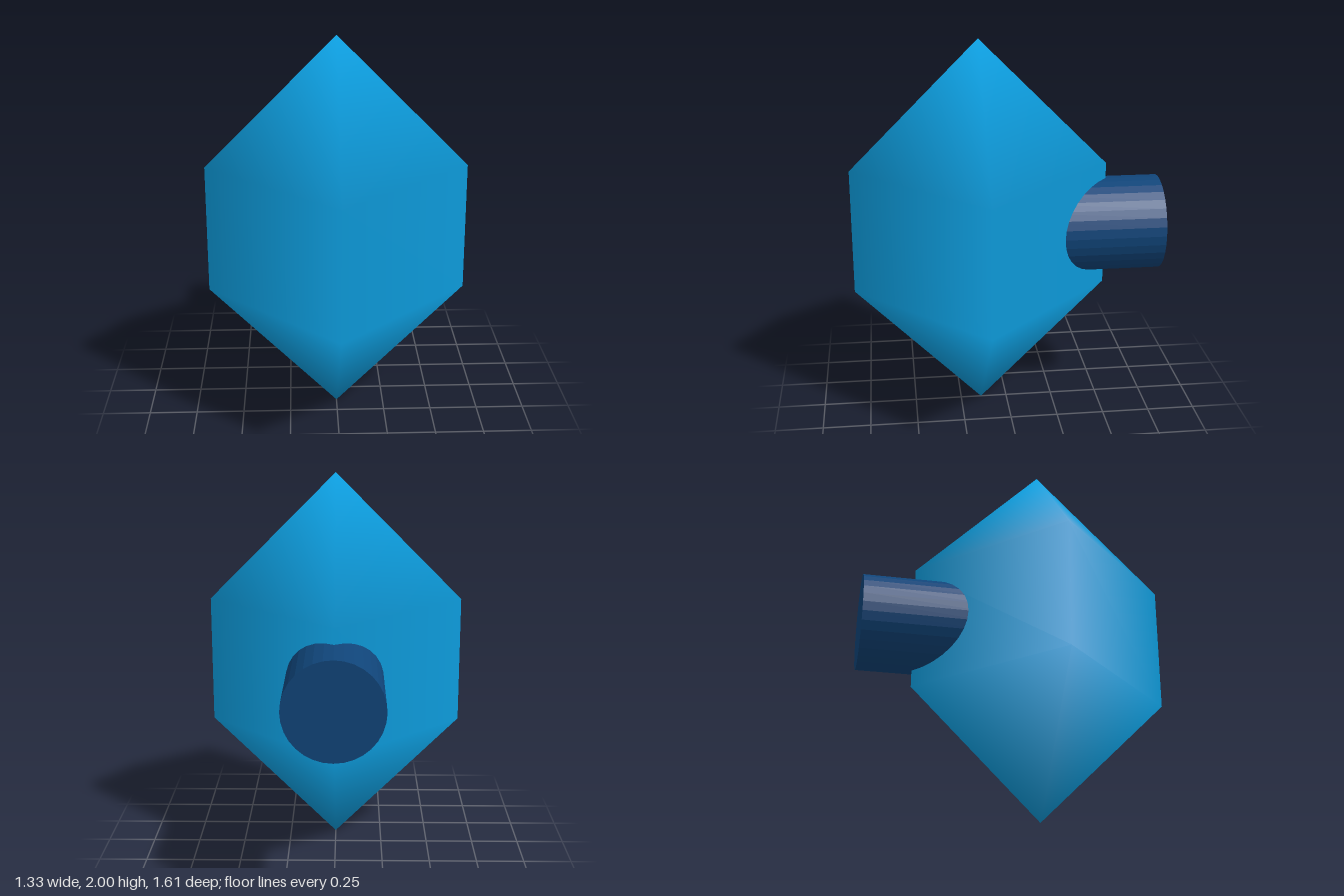
import * as THREE from 'three';

export function createModel() {
  const model = new THREE.Group();

  const crystalBlue = new THREE.MeshStandardMaterial({ color: 0x0ea5e9 });
  crystalBlue.name = 'crystal blue';
  const navy = new THREE.MeshStandardMaterial({ color: 0x10457a });
  navy.name = 'navy';
  navy.flatShading = true;

  // Smooth-shaded four-sided capsule with pointed ends
  const R = 2 / 3;
  const body = new THREE.Mesh(new THREE.CapsuleGeometry(R, R, 1, 4), crystalBlue);
  body.name = 'body';
  body.position.set(0, 1, 0.14);
  model.add(body);

  // Round peg leaving the back edge, its inner end buried in the body
  const back = -0.807, inner = -0.14;
  const peg = new THREE.Mesh(new THREE.CylinderGeometry(0.248, 0.248, inner - back, 32), navy);
  peg.name = 'backPeg';
  peg.rotation.x = Math.PI / 2;
  peg.position.set(0, 1.003, (inner + back) / 2);
  model.add(peg);

  return model;
}
